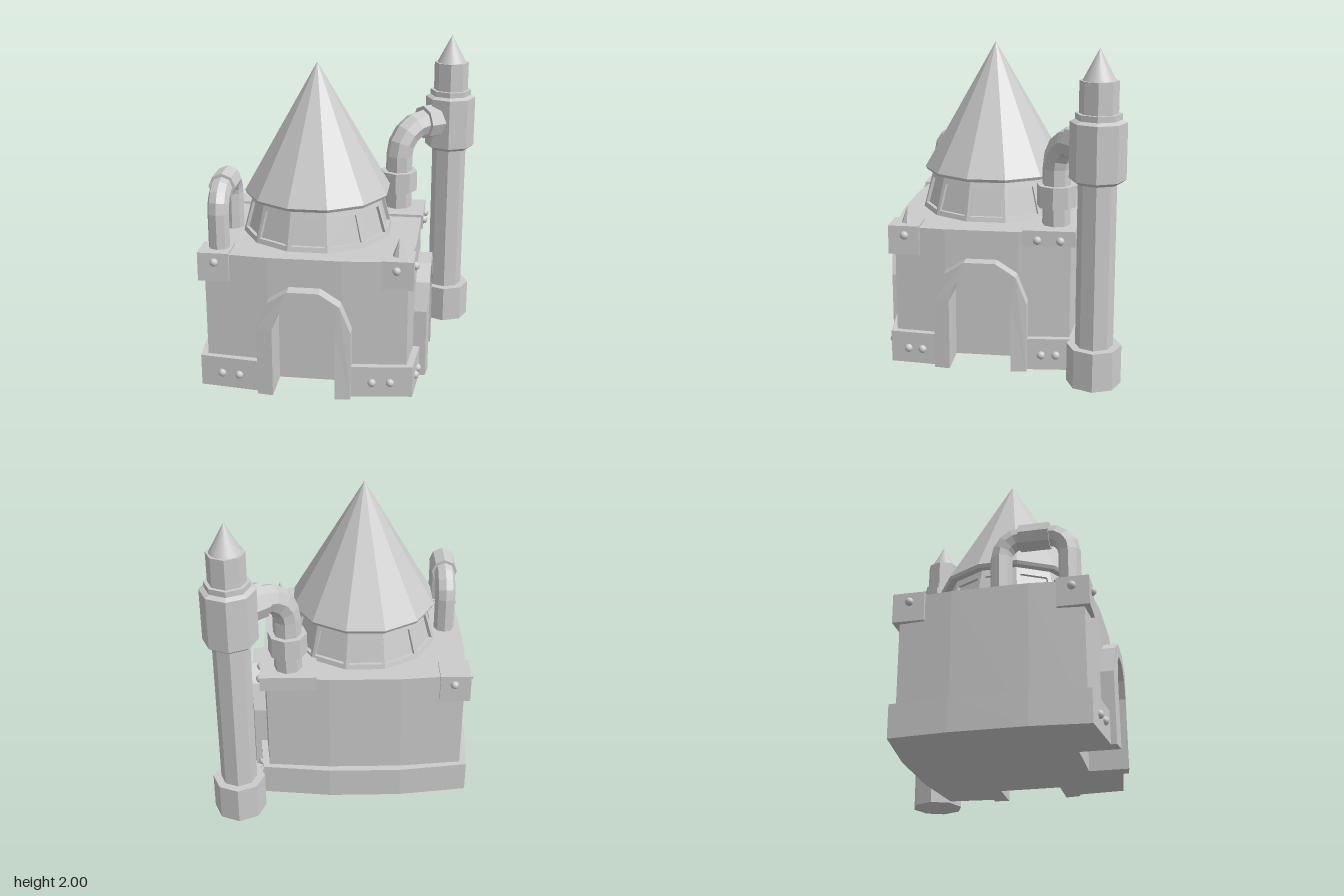
import * as THREE from 'three';

const flat = new THREE.MeshStandardMaterial({ color: 0xcccccc, flatShading: true });
const smooth = new THREE.MeshStandardMaterial({ color: 0xcccccc });
const CX = -0.145, CZ = 0.1; // centre of the house

function add(parent, name, geo, x = 0, y = 0, z = 0, mat = flat) {
  const m = new THREE.Mesh(geo, mat);
  m.name = name;
  m.position.set(x, y, z);
  parent.add(m);
  return m;
}

function group(parent, name, x = 0, y = 0, z = 0, ry = 0) {
  const g = new THREE.Group();
  g.name = name;
  g.position.set(x, y, z);
  g.rotation.y = ry;
  parent.add(g);
  return g;
}

const shape = pts => new THREE.Shape(pts.map(p => new THREE.Vector2(p[0], p[1])));
const extrude = (s, depth) => new THREE.ExtrudeGeometry(s, { depth, bevelEnabled: false });
const mirrorArch = half => [...half, ...half.map(([x, y]) => [-x, y]).reverse()];

// Square plan with bulging sides and door recesses in the front and left walls
function planBlock(cx, mx, cz, mz, h) {
  const b = 0.225, n = 0.19, dz = 0.42, dx = 0.49;
  const pts = [
    [-cx, cz], [-b, mz], [-n, mz], [-n, dz], [n, dz], [n, mz], [b, mz],
    [cx, cz], [mx, b], [mx, n], [dx, n], [dx, -n], [mx, -n], [mx, -b],
    [cx, -cz], [b, -mz], [-b, -mz], [-cx, -cz], [-mx, -b], [-mx, b],
  ];
  return extrude(shape(pts.map(([x, z]) => [x, -z])), h).rotateX(-Math.PI / 2);
}

// Arched doorway: wall infill above the opening and a raised trim around it
function doorway(parent, name, ry, recess, wall, face) {
  const g = group(parent, name, 0, 0, 0, ry);
  const inner = mirrorArch([[0.19, 0], [0.19, 0.44], [0.155, 0.55], [0.075, 0.615]]);
  const outer = mirrorArch([[0.285, 0], [0.285, 0.44], [0.22, 0.61], [0.095, 0.69]]);
  const infill = [[0.19, 0.87], ...inner.slice(1, -1), [-0.19, 0.87]];
  add(g, 'lintel', extrude(shape(infill), wall - recess), 0, 0, recess);
  const trim = extrude(shape([...outer, ...inner.slice().reverse()]), 0.11);
  const p = trim.attributes.position;
  for (let i = 0; i < p.count; i++) {
    if (Math.abs(p.getX(i)) > 0.25) p.setZ(i, p.getZ(i) - 0.012);
  }
  add(g, 'archTrim', trim, 0, 0, face - 0.11);
}

function bolt(parent, x, y, z) {
  add(parent, 'bolt', new THREE.SphereGeometry(0.026, 10, 8), x, y, z, smooth);
}

function pipe(parent, name, r, y0, y1, x = 0, z = 0) {
  return add(parent, name, new THREE.CylinderGeometry(r, r, y1 - y0, 8), x, (y0 + y1) / 2, z);
}

function elbow(parent, name, R, r, x, y, start) {
  return add(parent, name, new THREE.TorusGeometry(R, r, 8, 4, Math.PI / 2).rotateZ(start), x, y, 0);
}

function sleeve(parent, name, r, x0, x1, y) {
  const geo = new THREE.CylinderGeometry(r, r, x1 - x0, 8).rotateZ(Math.PI / 2);
  return add(parent, name, geo, (x0 + x1) / 2, y, 0);
}

export function createModel() {
  const model = new THREE.Group();
  model.name = 'furnaceHouse';
  const house = group(model, 'house', CX, 0, CZ);

  // Walls, plinth and doorways
  add(house, 'walls', planBlock(0.615, 0.645, 0.54, 0.575, 0.87));
  add(house, 'plinth', planBlock(0.655, 0.685, 0.57, 0.62, 0.2));
  doorway(house, 'frontDoorway', 0, 0.42, 0.575, 0.66);
  doorway(house, 'leftDoorway', Math.PI / 2, 0.49, 0.645, 0.73);

  // Corner brackets with bolts on both outer faces
  for (const [sx, sz] of [[-1, 1], [1, 1], [-1, -1]]) {
    add(house, 'cornerBracket', new THREE.BoxGeometry(0.19, 0.18, 0.19), sx * 0.555, 0.793, sz * 0.48);
    bolt(house, sx * 0.548, 0.825, sz * 0.576);
    bolt(house, sx * 0.652, 0.825, sz * 0.475);
  }
  add(house, 'pipeBracket', new THREE.BoxGeometry(0.35, 0.095, 0.32), 0.48, 0.838, -0.41);
  for (const z of [-0.34, -0.48]) bolt(house, 0.656, 0.825, z);

  // Plinth bolts
  for (const s of [-1, 1]) {
    for (const d of [0.41, 0.52]) bolt(house, s * d, 0.095, 0.62 - (d - 0.225) * 0.116);
    for (const d of [0.37, 0.46]) bolt(house, 0.685 - (d - 0.225) * 0.087, 0.095, s * d);
  }

  // Corner spike
  add(house, 'cornerSpike', new THREE.ConeGeometry(0.04, 0.115, 8), 0.555, 0.938, 0.47);

  // Tapered drum with twelve recessed windows
  const drum = group(house, 'windowDrum', 0, 0.87, 0);
  add(drum, 'drumCore', new THREE.CylinderGeometry(0.39, 0.452, 0.25, 12, 1, false, Math.PI / 12), 0, 0.125, 0);
  const frame = shape([[-0.123, 0], [0.123, 0], [0.106, 0.25], [-0.106, 0.25]]);
  frame.holes.push(shape([[-0.103, 0.03], [-0.084, 0.2], [0.084, 0.2], [0.103, 0.03]]));
  const frameGeo = extrude(frame, 0.03);
  const p = frameGeo.attributes.position;
  for (let i = 0; i < p.count; i++) p.setZ(i, p.getZ(i) + 0.429 - 0.252 * p.getY(i));
  for (let i = 0; i < 12; i++) {
    add(drum, 'windowFrame', frameGeo).rotation.y = i * Math.PI / 6;
  }

  // Roof
  add(house, 'roofLip', new THREE.CylinderGeometry(0.462, 0.452, 0.02, 12, 1, false, Math.PI / 12), 0, 1.128, 0);
  add(house, 'roof', new THREE.ConeGeometry(0.462, 0.802, 12, 1, false, Math.PI / 12), 0, 1.539, 0);

  // Chimney
  const chimney = group(model, 'chimney', 0.655, 0, -0.6);
  const profile = [
    [0, 0], [0.163, 0], [0.163, 0.24], [0.113, 0.24], [0.113, 1.235], [0.14, 1.235],
    [0.165, 1.255], [0.165, 1.585], [0.135, 1.6], [0.135, 1.635], [0.113, 1.635],
    [0.113, 1.82], [0, 1.82],
  ].map(q => new THREE.Vector2(q[0], q[1]));
  add(chimney, 'stack', new THREE.LatheGeometry(profile, 8));
  add(chimney, 'chimneyTip', new THREE.ConeGeometry(0.095, 0.18, 20), 0, 1.91, 0, smooth);

  // Bent pipe joining the house to the chimney
  const flue = group(model, 'fluePipe', 0.335, 0, -0.34, Math.atan2(0.26, 0.32));
  pipe(flue, 'flueRiser', 0.088, 0.86, 1.24);
  pipe(flue, 'flueCoupling', 0.122, 1.0, 1.135);
  elbow(flue, 'flueElbow', 0.2, 0.088, 0.2, 1.235, Math.PI / 2);
  sleeve(flue, 'flueRun', 0.088, 0.2, 0.36, 1.435);
  sleeve(flue, 'flueSleeve', 0.112, 0.19, 0.33, 1.435);

  // Looped pipe on the roof deck
  const loop = group(model, 'loopPipe', -0.685, 0, 0.35, -Math.PI / 2);
  for (const s of [-1, 1]) {
    pipe(loop, 'loopLeg', 0.066, 0.86, 1.1, s * 0.203);
    elbow(loop, 'loopElbow', 0.125, 0.066, s * 0.078, 1.1, s > 0 ? 0 : Math.PI / 2);
  }
  sleeve(loop, 'loopSleeve', 0.083, -0.09, 0.09, 1.225);

  return model;
}
